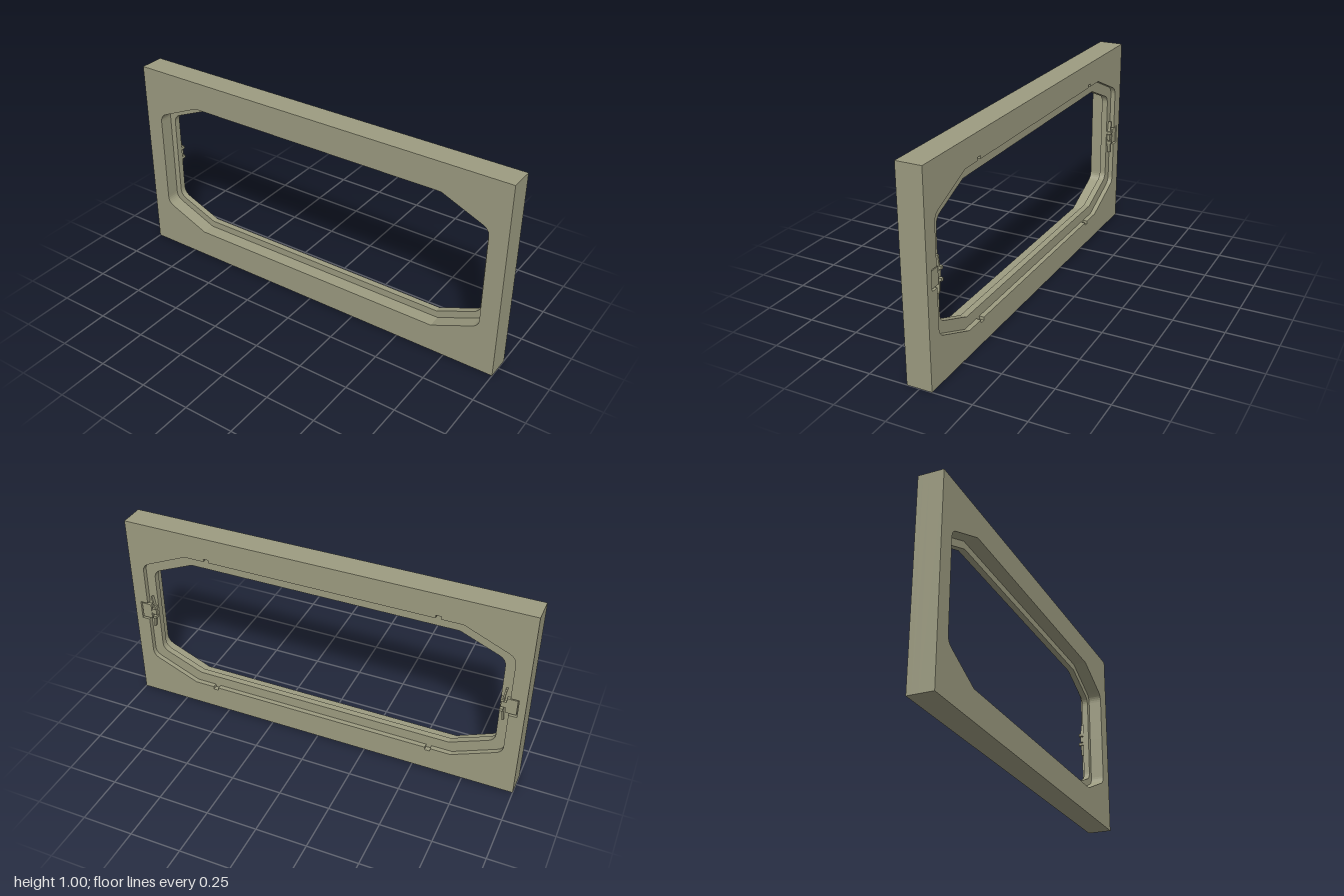
import * as THREE from 'three';

const material = new THREE.MeshStandardMaterial({ color: 0x9c9b80, flatShading: true });
const CY = 0.5, FRONT = 0.0625, LIP_FRONT = -0.005, LIP_BACK = -0.036, BACK = -0.0598;

// Eight-sided opening with softened side corners; extra points make the notches.
function opening(hx, hy, cx, sy, topNotches = [], sideNotch = null) {
  const quarter = [];
  if (sideNotch) {
    quarter.push([sideNotch.x, 0], [sideNotch.x, sideNotch.h], [hx, sideNotch.h]);
  } else quarter.push([hx, 0]);
  // rounded corner between the upright side and the slanted edge
  const r = 0.035, len = Math.hypot(hx - cx, hy - sy);
  const a = new THREE.Vector2(hx, sy - r);
  const b = new THREE.Vector2(hx - (hx - cx) / len * r, sy + (hy - sy) / len * r);
  const curve = new THREE.QuadraticBezierCurve(a, new THREE.Vector2(hx, sy), b);
  for (const p of curve.getPoints(6)) quarter.push([p.x, p.y]);
  quarter.push([cx, hy]);
  for (const n of topNotches) {
    quarter.push([n.x + n.w, hy], [n.x + n.w, hy + n.d], [n.x - n.w, hy + n.d], [n.x - n.w, hy]);
  }
  const mirrored = [...quarter].reverse();
  const points = [
    ...quarter,
    ...mirrored.map(([x, y]) => [-x, y]),
    ...quarter.slice(1).map(([x, y]) => [-x, -y]),
    ...mirrored.slice(0, -1).map(([x, y]) => [x, -y]),
  ];
  return new THREE.Path(points.map(([x, y]) => new THREE.Vector2(x, y + CY)));
}

// One slab of the panel, from z0 to z1, pierced by an opening.
function slab(name, z0, z1, hole) {
  const shape = new THREE.Shape([[-1, 0], [1, 0], [1, 1], [-1, 1]].map(([x, y]) => new THREE.Vector2(x, y)));
  shape.holes.push(hole);
  const geometry = new THREE.ExtrudeGeometry(shape, { depth: z1 - z0, bevelEnabled: false });
  geometry.translate(0, 0, z0);
  const mesh = new THREE.Mesh(geometry, material);
  mesh.name = name;
  return mesh;
}

function box(name, w, h, d, x, y, z) {
  const mesh = new THREE.Mesh(new THREE.BoxGeometry(w, h, d), material);
  mesh.name = name;
  mesh.position.set(x, y, z);
  return mesh;
}

// Retaining clip seated in the side notch of the rear recess.
function clip(side) {
  const group = new THREE.Group();
  group.name = side > 0 ? 'leftClip' : 'rightClip';
  group.add(box('clipPlate', 0.05, 0.08, 0.016, side * 0.936, CY, -0.048));
  group.add(box('clipFoot', 0.028, 0.03, 0.014, side * 0.9, CY, -0.046));
  for (const v of [-1, 1]) {
    group.add(box('clipProng', 0.016, 0.014, 0.028, side * 0.892, CY + v * 0.027, -0.0485));
    // springy arm running along the recess wall
    const arm = box('clipArm', 0.008, 0.06, 0.016, side * 0.899, CY + v * 0.058, -0.046);
    arm.rotation.z = -v * side * 0.15;
    group.add(arm);
  }
  return group;
}

export function createModel() {
  const model = new THREE.Group();
  model.name = 'panelFrame';
  model.add(slab('frontFrame', LIP_FRONT, FRONT, opening(0.91, 0.358, 0.675, 0.255)));
  model.add(slab('innerLip', LIP_BACK, LIP_FRONT, opening(0.88, 0.323, 0.665, 0.232)));
  model.add(slab('rearFrame', BACK, LIP_BACK, opening(0.927, 0.375, 0.685, 0.27,
    [{ x: 0.57, w: 0.013, d: 0.015 }], { x: 0.966, h: 0.048 })));
  for (const side of [-1, 1]) model.add(clip(side));
  return model;
}
